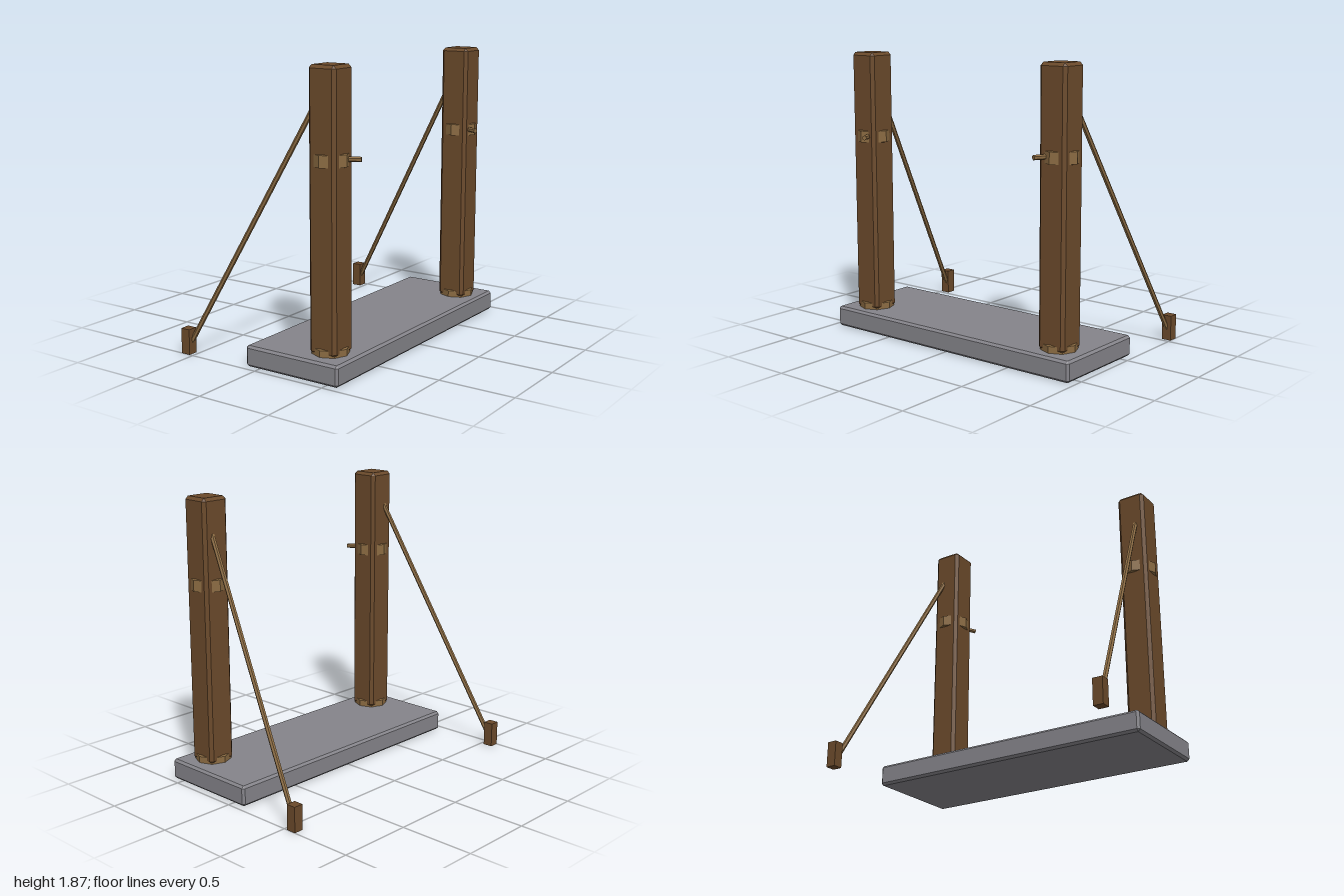
import * as THREE from 'three';
import { ConvexGeometry } from 'three/addons/geometries/ConvexGeometry.js';

// Box with chamfered edges: hull of three slightly inset boxes
function chamferBox(w, h, d, c) {
  const points = [];
  for (const sx of [-1, 1]) for (const sy of [-1, 1]) for (const sz of [-1, 1]) {
    const x = w / 2, y = h / 2, z = d / 2;
    points.push(
      new THREE.Vector3(sx * x, sy * (y - c), sz * (z - c)),
      new THREE.Vector3(sx * (x - c), sy * y, sz * (z - c)),
      new THREE.Vector3(sx * (x - c), sy * (y - c), sz * z),
    );
  }
  return new ConvexGeometry(points);
}

// Six-sided rod between two points
function rodBetween(a, b, radius) {
  const dir = b.clone().sub(a);
  const geo = new THREE.CylinderGeometry(radius, radius, dir.length(), 6);
  const turn = new THREE.Quaternion().setFromUnitVectors(new THREE.Vector3(0, 1, 0), dir.normalize());
  geo.applyQuaternion(turn);
  const mid = a.clone().add(b).multiplyScalar(0.5);
  return geo.translate(mid.x, mid.y, mid.z);
}

export function createModel() {
  const model = new THREE.Group();
  model.name = 'ropePosts';

  const material = (name, color) => {
    const m = new THREE.MeshStandardMaterial({ color, flatShading: true });
    m.name = name;
    return m;
  };
  const wood = material('darkWood', 0x6b4a2b);
  const rope = material('rope', 0x8b6b42);
  const stone = material('stone', 0x85848a);

  const add = (parent, name, geo, mat, x = 0, y = 0, z = 0) => {
    const mesh = new THREE.Mesh(geo, mat);
    mesh.name = name;
    mesh.position.set(x, y, z);
    parent.add(mesh);
    return mesh;
  };

  // Stone slab
  add(model, 'slab', chamferBox(0.685, 0.135, 1.926, 0.015), stone, 0.243, 0.0675, 0);

  // Eight-sided rope binding, slightly tapered towards its outer face
  const bindingProfile = [
    [0.07, -0.041], [0.098, -0.041], [0.117, -0.037],
    [0.117, 0.037], [0.098, 0.041], [0.07, 0.041],
  ].map(([r, y]) => new THREE.Vector2(r, y));
  const binding = new THREE.LatheGeometry(bindingProfile, 8);
  const post = chamferBox(0.192, 1.73, 0.192, 0.02);
  const stake = new THREE.BoxGeometry(0.065, 0.165, 0.065);

  for (const side of [1, -1]) {
    const group = new THREE.Group();
    group.name = side > 0 ? 'frontPost' : 'backPost';
    model.add(group);

    // Post and its two bindings
    add(group, 'post', post, wood, 0.406, 1.0, side * 0.77);
    add(group, 'footBinding', binding, rope, 0.406, 0.14, side * 0.77);
    add(group, 'upperBinding', binding, rope, 0.406, 1.312, side * 0.77);

    // Loose rope end, turned inwards
    add(group, 'ropeEnd', rodBetween(
      new THREE.Vector3(0.44, 1.315, side * 0.758),
      new THREE.Vector3(0.572, 1.315, side * 0.691), 0.016), rope);

    // Guy rope down to a ground stake
    add(group, 'guyRope', rodBetween(
      new THREE.Vector3(-0.557, 0.04, side * 0.966),
      new THREE.Vector3(0.35, 1.685, side * 0.792), 0.016), rope);
    add(group, 'stake', stake, wood, -0.557, 0.0825, side * 0.9675);
  }
  return model;
}
